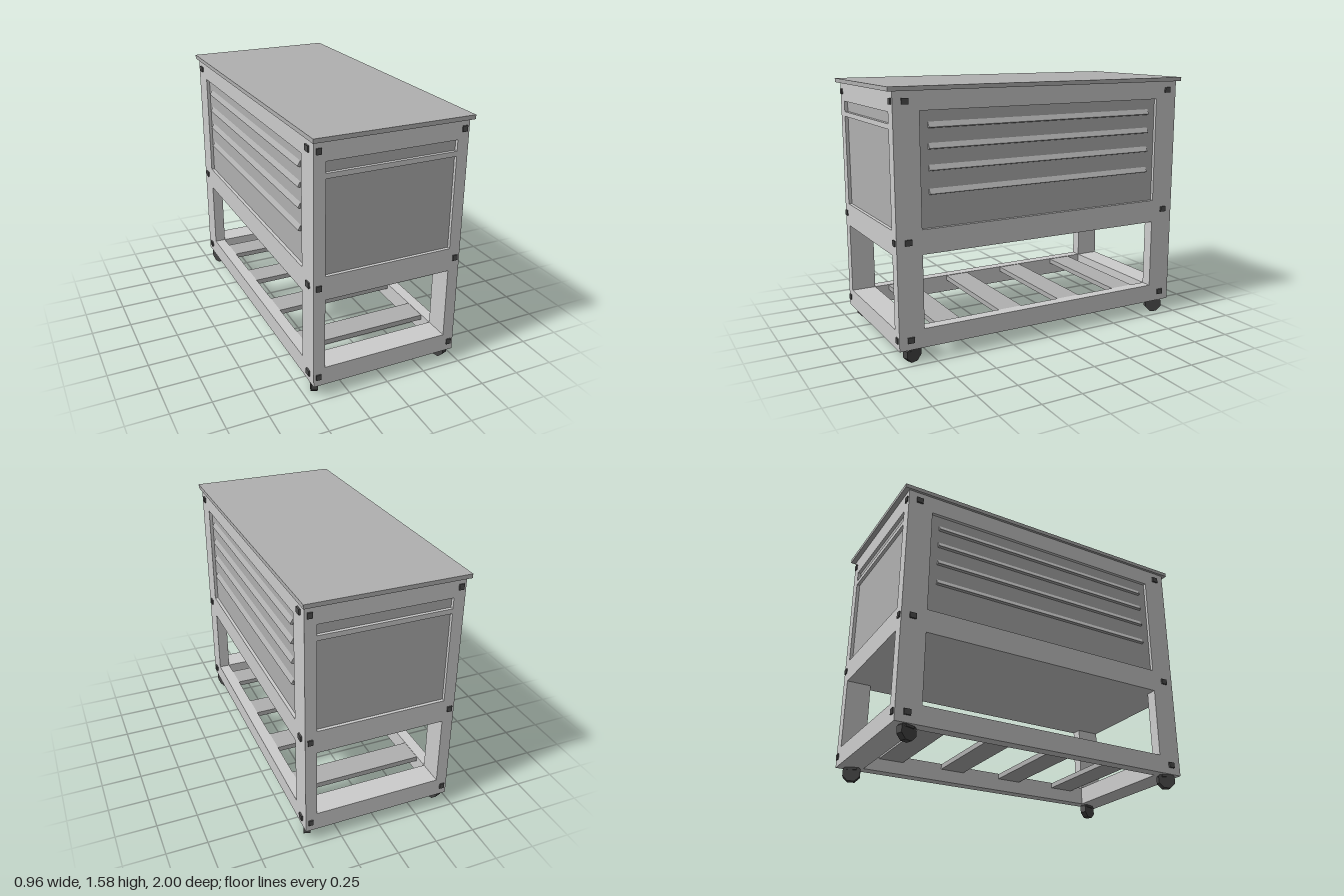
import * as THREE from 'three';

const mat = (name, color) => {
  const m = new THREE.MeshStandardMaterial({ color });
  m.name = name;
  return m;
};

export function createModel() {
  const root = new THREE.Group();
  root.name = 'rollingWorkbench';
  const frame = mat('light grey frame', 0xcccccc);
  const panel = mat('mid grey panel', 0xb0b0b0);
  const bolt = mat('dark grey bolt', 0x505050);
  const rubber = mat('charcoal caster', 0x444444);

  // Box given by its minimum and maximum on each axis
  const box = (name, m, [x0, x1], [y0, y1], [z0, z1]) => {
    const mesh = new THREE.Mesh(new THREE.BoxGeometry(x1 - x0, y1 - y0, z1 - z0), m);
    mesh.position.set((x0 + x1) / 2, (y0 + y1) / 2, (z0 + z1) / 2);
    mesh.name = name;
    root.add(mesh);
    return mesh;
  };
  // Range of the same extent on the chosen side of zero
  const side = (s, a, b) => (s > 0 ? [a, b] : [-b, -a]);

  const X = 0.465, Z = 0.97, XI = 0.395, ZI = 0.815;
  const Y0 = 0.085, Y1 = 1.56;

  box('worktop', panel, [-0.48, 0.48], [Y1, 1.585], [-1, 1]);
  box('cabinetFloor', frame, [-XI, XI], [0.64, 0.66], [-ZI, ZI]);

  // Long side frames: one slab with an upper panel window and a lower opening
  const outline = new THREE.Shape([[-Z, Y0], [Z, Y0], [Z, Y1], [-Z, Y1]].map(p => new THREE.Vector2(...p)));
  for (const [a, b] of [[0.2, 0.64], [0.785, 1.45]]) {
    outline.holes.push(new THREE.Path([[-ZI, a], [-ZI, b], [ZI, b], [ZI, a]].map(p => new THREE.Vector2(...p))));
  }
  const sideGeo = new THREE.ExtrudeGeometry(outline, { depth: X - XI, bevelEnabled: false });

  // Louvre: wedge that leans out towards its lower edge
  const wedge = new THREE.Shape([[0, 0], [0.016, 0.004], [0.016, 0.01], [0, 0.036]].map(p => new THREE.Vector2(...p)));
  const louvreGeo = new THREE.ExtrudeGeometry(wedge, { depth: 1.52, bevelEnabled: false });
  louvreGeo.translate(0, 0, -0.76);

  for (const s of [1, -1]) {
    const f = new THREE.Mesh(sideGeo, frame);
    f.name = 'sideFrame';
    f.rotation.y = s * Math.PI / 2;
    f.position.x = s * XI;
    root.add(f);

    box('sidePanel', panel, side(s, XI, X - 0.02), [0.785, 1.45], [-ZI, ZI]);
    for (const y of [1.35, 1.232, 1.11, 0.975]) {
      const l = new THREE.Mesh(louvreGeo, panel);
      l.name = 'louvre';
      l.rotation.y = s > 0 ? 0 : Math.PI;
      l.position.set(s * (X - 0.02), y, 0);
      root.add(l);
    }

    // End rails, end panel and drawer slot
    for (const y of [[Y0, 0.2], [0.64, 0.785], [1.35, 1.38], [1.445, Y1]]) {
      box('endRail', frame, [-XI, XI], y, side(s, ZI, Z));
    }
    box('endPanel', panel, [-XI, XI], [0.785, 1.35], side(s, ZI, Z - 0.02));
    box('drawerFront', panel, [-XI, XI], [1.38, 1.445], side(s, ZI, Z - 0.02));
  }

  // Lower shelf slats
  for (const z of [-0.64, -0.213, 0.213, 0.64]) {
    box('shelfSlat', panel, [-XI, XI], [0.165, 0.197], [z - 0.08, z + 0.08]);
  }

  // Bolts on both faces of each corner, and a turned caster below
  for (const sx of [1, -1]) for (const sz of [1, -1]) {
    for (const y of [0.145, 0.72, 1.505]) {
      const h = [y - 0.017, y + 0.017];
      box('endBolt', bolt, side(sx, 0.42, 0.45), h, side(sz, Z - 0.01, Z + 0.008));
      box('sideBolt', bolt, side(sx, X - 0.01, X + 0.01), h, side(sz, 0.88, 0.92));
    }
    const caster = new THREE.Group();
    caster.name = 'caster';
    const wheelGeo = new THREE.CylinderGeometry(0.057, 0.057, 0.04, 8).toNonIndexed();
    wheelGeo.rotateY(Math.PI / 8).rotateZ(Math.PI / 2);
    wheelGeo.computeVertexNormals();
    const wheel = new THREE.Mesh(wheelGeo, rubber);
    wheel.name = 'wheel';
    wheel.position.y = 0.053;
    const mount = new THREE.Mesh(new THREE.BoxGeometry(0.05, 0.02, 0.06), rubber);
    mount.name = 'casterMount';
    mount.position.y = 0.08;
    caster.add(wheel, mount);
    caster.position.set(sx * 0.425, 0, sz * 0.88);
    caster.rotation.y = sx * sz * 0.35;
    root.add(caster);
  }
  return root;
}
